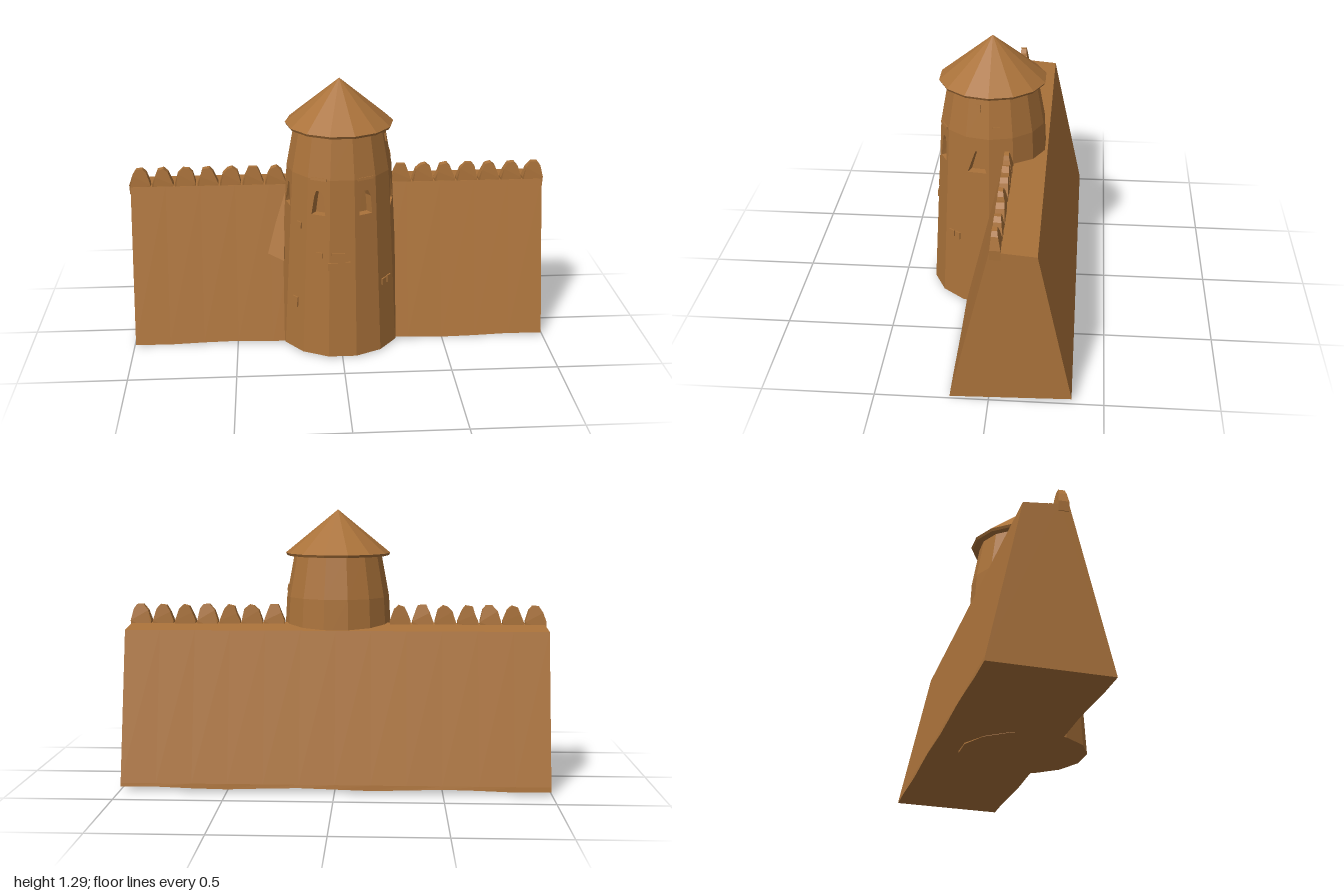
import * as THREE from 'three';

const SIDES = 14, CZ = 0.058, STEP = (Math.PI * 2) / SIDES;
const Y0 = 0.008, Y1 = 0.66, Y2 = 0.88, Y3 = 1.085;
// Tower radius at a height
const radiusAt = y => y < Y2 ? 0.298 - 0.05 * (y / Y2) : 0.248 - 0.038 * (y - Y2) / (Y3 - Y2);

export function createModel() {
  const group = new THREE.Group();
  const stone = new THREE.MeshStandardMaterial({ color: 0xaa723a, flatShading: true });
  stone.name = 'brown stone';

  const add = (name, geometry, parent = group) => {
    const mesh = new THREE.Mesh(geometry, stone);
    mesh.name = name;
    parent.add(mesh);
    return mesh;
  };
  const addGroup = name => {
    const g = new THREE.Group();
    g.name = name;
    group.add(g);
    return g;
  };
  const polygon = pts => new THREE.Shape(pts.map(p => new THREE.Vector2(p[0], p[1])));

  // Sloping wall: cross-section in (-z, y), swept along x with a slightly uneven foot
  const section = polygon([[-0.17, 0.006], [0.36, 0.02], [0.357, 0.04], [0.205, 0.738], [0.05, 0.752], [0.008, 0.755]]);
  const wall = new THREE.ExtrudeGeometry(section, { depth: 1.99, steps: 12, bevelEnabled: false });
  wall.rotateY(Math.PI / 2).translate(-0.995, 0, 0);
  const wp = wall.attributes.position;
  for (let i = 0; i < wp.count; i++) {
    const x = wp.getX(i), y = wp.getY(i);
    if (y < 0.03) wp.setY(i, y + 0.005 * Math.sin(x * 9));
    else if (y > 0.7) wp.setX(i, x * 0.996);
  }
  wall.computeVertexNormals();
  add('wall', wall);

  // Rough pointed merlons along the front edge of the wall
  const merlons = addGroup('merlons');
  for (const side of [-1, 1]) {
    for (let i = 0; i < 7; i++) {
      const a = Math.sin(i * 2.3 + side), b = Math.cos(i * 3.7 + side * 2);
      const shape = polygon([[-0.048, 0.72], [0.048, 0.72], [0.05, 0.765], [0.032 + 0.006 * b, 0.822],
        [0.014 + 0.008 * a, 0.842], [-0.016 + 0.008 * b, 0.838 + 0.006 * a], [-0.034, 0.808 + 0.008 * b], [-0.05, 0.765]]);
      const geo = new THREE.ExtrudeGeometry(shape, { depth: 0.046, bevelEnabled: false });
      const p = geo.attributes.position;
      for (let k = 0; k < p.count; k++) {
        const t = Math.max(0, p.getY(k) - 0.765);
        p.setZ(k, p.getZ(k) + t * (p.getZ(k) > 0.02 ? -0.1 : 0.12 + 0.1 * a));
      }
      geo.computeVertexNormals();
      const m = add('merlon', geo, merlons);
      m.position.set(side * (0.302 + i * 0.1075), 0, -0.055);
    }
  }

  // Faceted tower body
  const tower = addGroup('tower');
  const ring = (name, ya, yb, scale = 1, open = true) => {
    const geo = new THREE.CylinderGeometry(radiusAt(yb) * scale, radiusAt(ya) * scale, yb - ya, SIDES, 1, open, STEP / 2);
    return add(name, geo.translate(0, (ya + yb) / 2, CZ), tower);
  };
  ring('towerBase', Y0, Y1, 1, false);
  ring('towerTop', Y2, Y3, 1, false);
  ring('towerCore', Y1, Y2, 0.84);

  // Window storey: one panel per facet, some pierced by a tapering niche
  const panel = hole => {
    const s = polygon([[0, 0], [1, 0], [1, 1], [0, 1]]);
    if (hole) s.holes.push(new THREE.Path(hole.map(p => new THREE.Vector2(p[0], p[1]))));
    return new THREE.ExtrudeGeometry(s, { depth: 1, bevelEnabled: false });
  };
  const arch = [[0.2, 0.22], [0.8, 0.22], [0.75, 0.6], [0.62, 0.74], [0.38, 0.74], [0.3, 0.6]];
  const slit = [[0.1, 0.2], [0.9, 0.22], [0.58, 0.7], [0.42, 0.7]];
  const storey = addGroup('windowStorey');
  for (let k = 0; k < SIDES; k++) {
    const hole = (k === 1 || k === 13) ? arch : (k === 3 || k === 11) ? slit : null;
    const geo = panel(hole), p = geo.attributes.position;
    const t0 = (k - 0.5) * STEP, t1 = (k + 0.5) * STEP;
    for (let i = 0; i < p.count; i++) {
      const u = p.getX(i), y = Y1 + p.getY(i) * (Y2 - Y1);
      const r = radiusAt(y - 1e-6) * (1 - 0.18 * (1 - p.getZ(i)));
      p.setXYZ(i, r * (Math.sin(t0) * (1 - u) + Math.sin(t1) * u), y,
        CZ + r * (Math.cos(t0) * (1 - u) + Math.cos(t1) * u));
    }
    geo.computeVertexNormals();
    add(hole ? 'windowPanel' : 'plainPanel', geo, storey);
  }

  // Single stones standing slightly proud: facet, sideways offset, height, width, tallness
  const bricks = addGroup('raisedStones');
  [[0, -0.02, 0.515, 0.06, 0.03], [0, -0.045, 0.465, 0.045, 0.035], [0, 0.025, 0.47, 0.025, 0.035],
    [13, 0.01, 0.515, 0.035, 0.025], [2, -0.02, 0.35, 0.035, 0.03], [12, 0, 0.25, 0.035, 0.05],
    [12, 0.01, 0.64, 0.03, 0.03], [2, 0.02, 0.35, 0.03, 0.035], [4, -0.02, 0.92, 0.035, 0.035],
    [3, 0, 1.02, 0.02, 0.035], [1, 0, 0.88, 0.08, 0.012], [13, 0, 0.88, 0.08, 0.012]]
    .forEach(([k, off, y, w, h]) => {
      const r = radiusAt(y) * Math.cos(STEP / 2), t = k * STEP;
      const b = add('raisedStone', new THREE.BoxGeometry(w, h, 0.014), bricks);
      b.position.set(r * Math.sin(t) + off * Math.cos(t), y, CZ + r * Math.cos(t) - off * Math.sin(t));
      b.rotation.set(y < Y2 ? -0.056 : -0.18, t, 0, 'YXZ');
    });

  // Conical roof with a thin rim and a flat underside
  const roof = new THREE.LatheGeometry([[0, 1.08], [0.246, 1.076], [0.253, 1.088], [0, 1.295]]
    .map(p => new THREE.Vector2(p[0], p[1])), SIDES, STEP / 2);
  add('roof', roof.translate(0, 0, CZ), group);

  // Small wedge filling the corner between the wall and the tower's right side
  const A = [-0.25, 0.74, 0.0], B = [-0.352, 0.43, 0.065], C = [-0.27, 0.41, 0.12], D = [-0.25, 0.42, 0.0];
  const wedge = new THREE.BufferGeometry();
  wedge.setAttribute('position', new THREE.Float32BufferAttribute(
    [A, B, C, A, D, B, A, C, D, B, D, C].flat(), 3));
  wedge.computeVertexNormals();
  add('cornerWedge', wedge);

  return group;
}
